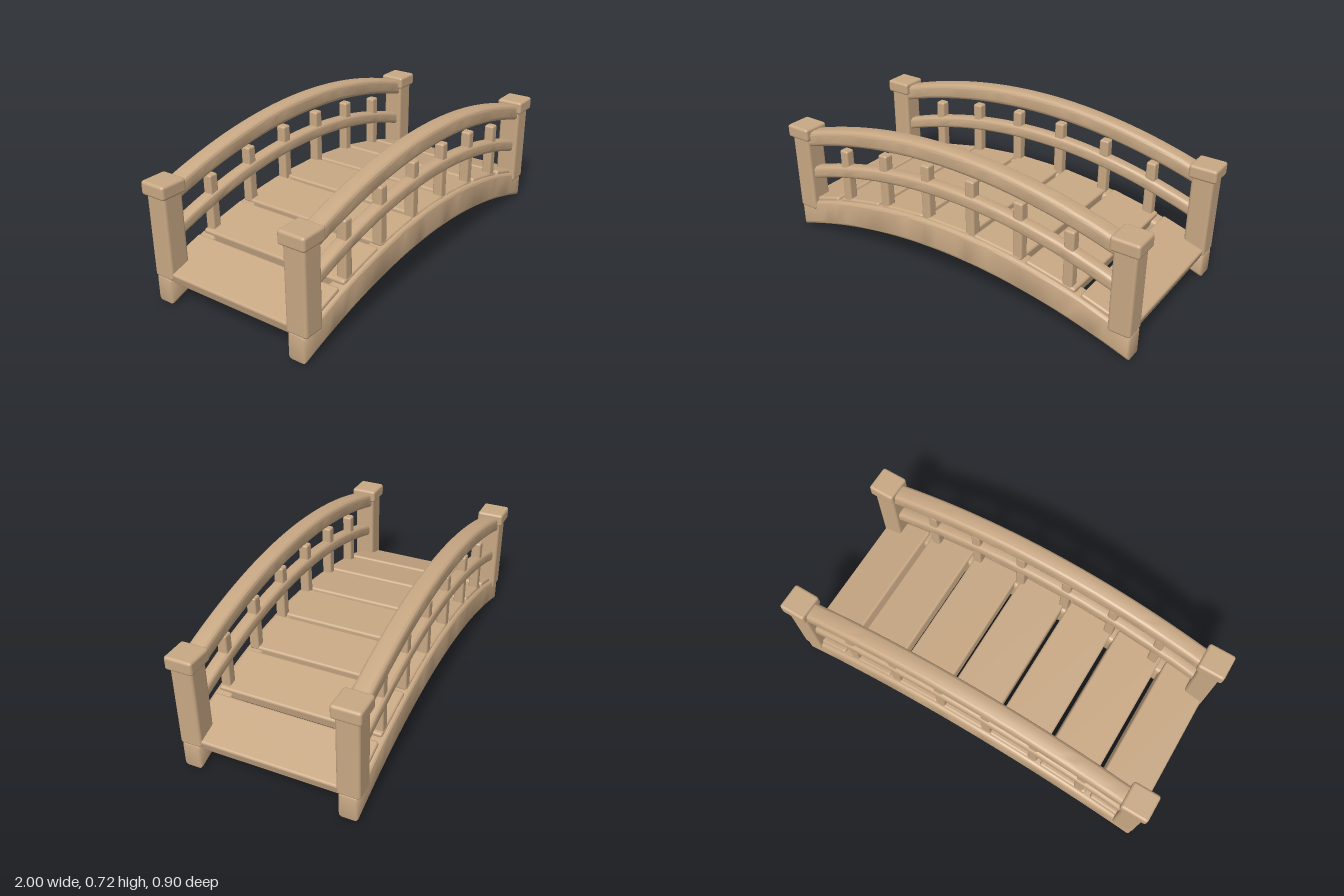
import * as THREE from 'three';
import { toCreasedNormals } from 'three/addons/utils/BufferGeometryUtils.js';
import { RoundedBoxGeometry } from 'three/addons/geometries/RoundedBoxGeometry.js';

const wood = new THREE.MeshStandardMaterial({ color: 0xc8a884 });
const SIDE_Z = 0.383;

function add(parent, name, geometry, x, y, z) {
  const mesh = new THREE.Mesh(geometry, wood);
  mesh.name = name;
  mesh.position.set(x, y, z);
  parent.add(mesh);
  return mesh;
}

function roundedRect(w, h, r) {
  const s = new THREE.Shape();
  const a = w / 2 - r, b = h / 2 - r;
  s.absarc(a, b, r, 0, Math.PI / 2);
  s.absarc(-a, b, r, Math.PI / 2, Math.PI);
  s.absarc(-a, -b, r, Math.PI, Math.PI * 1.5);
  s.absarc(a, -b, r, Math.PI * 1.5, Math.PI * 2);
  s.closePath();
  return s;
}

// Straight rounded bar along x, bent so its lower and upper faces follow two arches
function archedBar(length, width, height, radius, bottom, top) {
  const bevel = 0.01;
  const g = new THREE.ExtrudeGeometry(roundedRect(width, height, radius), {
    depth: length - 2 * bevel, steps: 32, curveSegments: 5,
    bevelEnabled: true, bevelSize: bevel, bevelThickness: bevel, bevelOffset: -bevel, bevelSegments: 2,
  });
  g.translate(0, 0, bevel - length / 2);
  g.rotateY(Math.PI / 2);
  const p = g.attributes.position;
  for (let i = 0; i < p.count; i++) {
    const x = p.getX(i), t = p.getY(i) / height + 0.5;
    p.setY(i, THREE.MathUtils.lerp(bottom(x), top(x), t));
  }
  return toCreasedNormals(g, 0.8);
}

const arch = (crown, fall) => (x) => crown - fall * x * x;

export function createModel() {
  const bridge = new THREE.Group();
  bridge.name = 'archedFootbridge';

  // Deck planks, each tilted to the slope of the arch
  const deck = new THREE.Group();
  deck.name = 'deck';
  bridge.add(deck);
  const deckTop = arch(0.331, 0.178);
  const thickness = 0.06;
  for (let i = -3; i <= 3; i++) {
    const x = i * 0.285;
    const slope = Math.atan(-2 * 0.178 * x);
    const plank = add(deck, 'plank', new RoundedBoxGeometry(0.264, thickness, 0.82, 3, 0.012),
      x + Math.sin(slope) * thickness / 2, deckTop(x) - Math.cos(slope) * thickness / 2, 0);
    plank.rotation.z = slope;
  }

  // Geometry shared by both sides
  const beam = archedBar(1.97, 0.092, 0.15, 0.02, arch(0.172, 0.177), arch(0.322, 0.192));
  const handrail = archedBar(1.86, 0.092, 0.09, 0.025, arch(0.632, 0.18), arch(0.722, 0.187));
  const midRail = archedBar(1.86, 0.066, 0.066, 0.02, arch(0.458, 0.198), arch(0.526, 0.198));
  const post = new RoundedBoxGeometry(0.11, 0.44, 0.11, 3, 0.015);
  const cap = new RoundedBoxGeometry(0.138, 0.068, 0.138, 3, 0.014);
  const baluster = new RoundedBoxGeometry(0.05, 0.29, 0.05, 3, 0.01);

  for (const s of [1, -1]) {
    const side = new THREE.Group();
    side.name = s > 0 ? 'frontSide' : 'backSide';
    side.position.z = s * SIDE_Z;
    bridge.add(side);

    add(side, 'archBeam', beam, 0, 0, 0);
    add(side, 'handrail', handrail, 0, 0, 0);
    add(side, 'middleRail', midRail, 0, 0, 0);

    for (const m of [1, -1]) {
      add(side, 'post', post, m * 0.93, 0.346, 0);
      add(side, 'postCap', cap, m * 0.931, 0.566, 0);
      for (const x of [0.13, 0.393, 0.655]) {
        add(side, 'baluster', baluster, m * x, 0.458 - 0.178 * x * x, 0);
      }
    }
  }
  return bridge;
}
